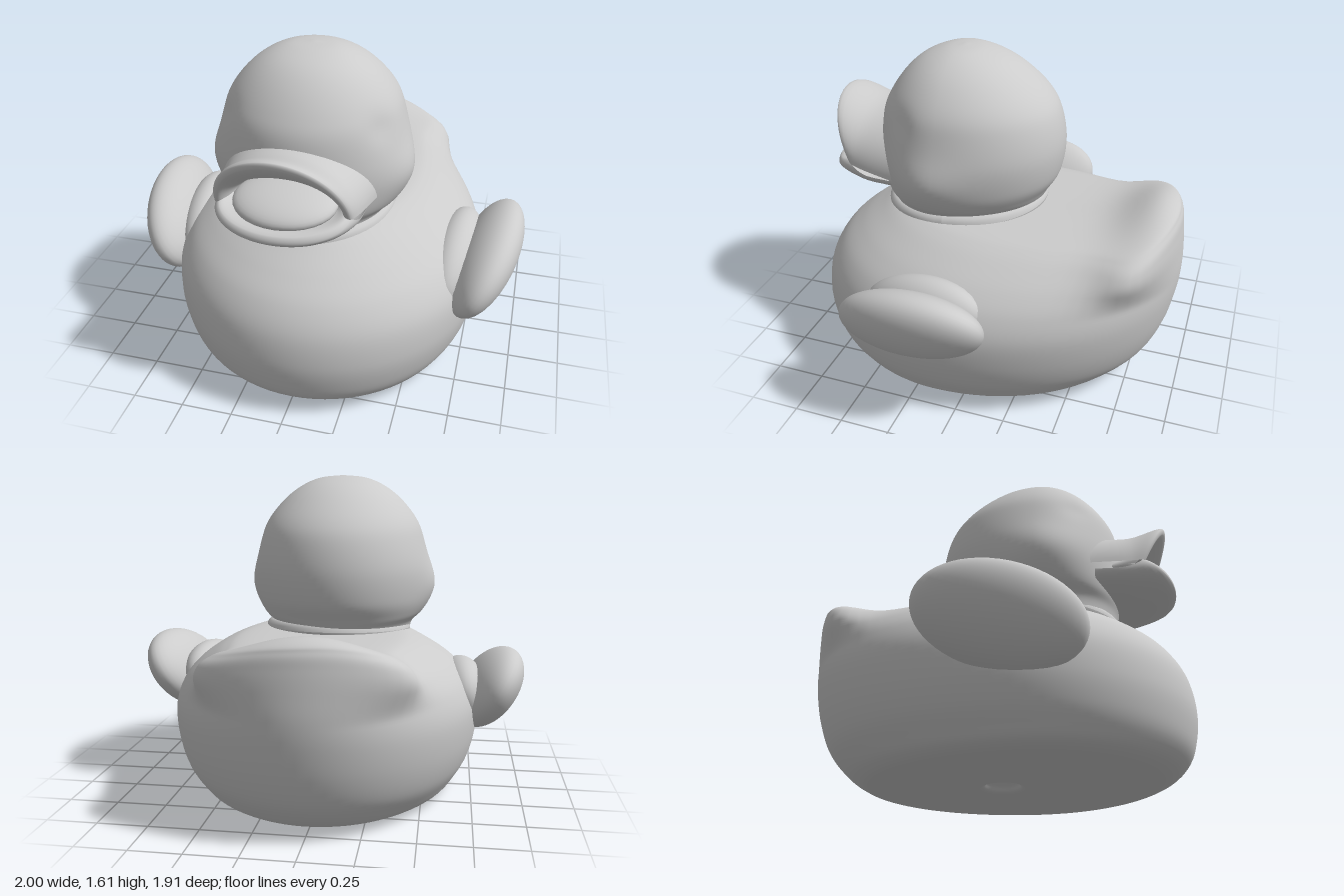
import * as THREE from 'three';
import { mergeVertices } from 'three/addons/utils/BufferGeometryUtils.js';

const material = new THREE.MeshStandardMaterial({ color: 0xcccccc, roughness: 0.7 });
const thinMaterial = new THREE.MeshStandardMaterial({ color: 0xcccccc, roughness: 0.7, side: THREE.DoubleSide });
const bell = (d, s) => Math.exp(-((d / s) ** 2));

function addMesh(parent, name, geometry, mat = material) {
  const mesh = new THREE.Mesh(geometry, mat);
  mesh.name = name;
  parent.add(mesh);
  return mesh;
}

// Smooth skin over a grid of points: point(i, j) for i rows and j columns.
function skin(rows, cols, point) {
  const positions = [], index = [];
  for (let i = 0; i <= rows; i++)
    for (let j = 0; j <= cols; j++) positions.push(...point(i / rows, j / cols).toArray());
  for (let i = 0; i < rows; i++)
    for (let j = 0; j < cols; j++) {
      const a = i * (cols + 1) + j, b = a + cols + 1;
      index.push(a, b, a + 1, b, b + 1, a + 1);
    }
  let geometry = new THREE.BufferGeometry();
  geometry.setAttribute('position', new THREE.Float32BufferAttribute(positions, 3));
  geometry.setIndex(index);
  geometry = mergeVertices(geometry, 1e-5);
  geometry.computeVertexNormals();
  return geometry;
}

// Egg-shaped horizontal rings [y, halfWidth, zFront, zBack], splined upward, then bent by a rule.
function eggLoft(rings, centreX, rule) {
  const spline = (a, b) => new THREE.CatmullRomCurve3(
    rings.map((r) => new THREE.Vector3(r[a], r[b], 0)), false, 'catmullrom', 0.5);
  const side = spline(0, 1), ends = spline(2, 3);
  return skin((rings.length - 1) * 7, 80, (t, s) => {
    const p = side.getPoint(t), e = ends.getPoint(t), a = s * Math.PI * 2;
    const zc = e.y + 0.55 * (e.x - e.y), sin = Math.sin(a);
    const v = new THREE.Vector3(Math.max(0, p.y) * Math.cos(a), p.x,
      zc + sin * (sin > 0 ? e.x - zc : zc - e.y));
    rule(v);
    v.x += centreX;
    return v;
  });
}

// Half of the bill: a profile of points swept round the arch from corner to corner.
function billHalf(direction, profile) {
  return skin(40, 30, (t, s) => {
    const u = t * Math.PI;
    const curve = new THREE.CatmullRomCurve3(profile(direction * Math.cos(u), Math.sin(u))
      .map((p) => new THREE.Vector3(p[0] - 0.045, p[1], p[2])));
    return curve.getPoint(s);
  });
}

function createWing(name, side, lift, shift) {
  const wing = new THREE.Group();
  wing.name = name;
  const blade = addMesh(wing, 'wingBlade', new THREE.SphereGeometry(1, 40, 28));
  blade.scale.set(0.135, 0.235, 0.385);
  blade.rotation.set(0.22, -0.14 * side, -0.52 * side);
  blade.position.set(0.83 * side, 0.56 + lift, 0.18 + shift);
  const root = addMesh(wing, 'wingRoot', new THREE.SphereGeometry(1, 32, 20));
  root.scale.set(0.13, 0.18, 0.32);
  root.rotation.set(0.2, -0.1 * side, 0);
  root.position.set(0.68 * side, 0.54 + lift, 0.18 + shift);
  return wing;
}

export function createModel() {
  const duck = new THREE.Group();
  duck.name = 'bathDuck';

  // Body with a dimpled flat base; the rule lifts and widens the tail.
  addMesh(duck, 'body', eggLoft([
    [0.09, 0, 0, 0], [0.05, 0.07, 0.07, -0.07], [0.015, 0.13, 0.13, -0.13],
    [0.015, 0.35, 0.4, -0.4], [0.015, 0.56, 0.7, -0.62], [0.045, 0.66, 0.83, -0.71],
    [0.11, 0.71, 0.905, -0.79], [0.2, 0.755, 0.94, -0.86], [0.33, 0.785, 0.955, -0.91],
    [0.48, 0.785, 0.93, -0.94], [0.6, 0.735, 0.86, -0.95], [0.69, 0.655, 0.76, -0.945],
    [0.76, 0.56, 0.66, -0.935], [0.81, 0.47, 0.58, -0.92], [0.835, 0.38, 0.5, -0.87],
    [0.843, 0.2, 0.3, -0.6], [0.843, 0, -0.1, -0.1],
  ], 0.015, (v) => {
    const k = THREE.MathUtils.smoothstep(v.y, 0.58, 0.83) * bell(v.z + 0.83, 0.18);
    v.x *= 1 + 0.6 * k;
    v.y += 0.115 * k * bell(v.x + 0.04, 0.36);
  }));

  // Soft collar where the neck meets the body.
  const collar = new THREE.TorusGeometry(1, 0.11, 16, 64);
  collar.rotateX(Math.PI / 2).scale(0.35, 0.4, 0.385).rotateX(0.08);
  collar.computeVertexNormals();
  addMesh(duck, 'collar', collar).position.set(-0.02, 0.82, 0.2);

  // Head; the rule swells the cheeks and presses in shallow eyes.
  addMesh(duck, 'head', eggLoft([
    [0.76, 0.36, 0.58, -0.18], [0.85, 0.37, 0.6, -0.205], [0.91, 0.415, 0.62, -0.235],
    [1.0, 0.44, 0.63, -0.285], [1.15, 0.455, 0.635, -0.305], [1.3, 0.43, 0.62, -0.28],
    [1.4, 0.39, 0.575, -0.225], [1.5, 0.31, 0.5, -0.12], [1.57, 0.22, 0.415, -0.01],
    [1.612, 0.12, 0.31, 0.11], [1.625, 0, 0.21, 0.21],
  ], -0.04, (v) => {
    const cheek = 0.05 * bell(v.y - 1.04, 0.13) * bell(v.z - 0.29, 0.22);
    const eye = 0.014 * bell(v.y - 1.32, 0.07) * bell(v.z - 0.42, 0.07);
    v.x += Math.sign(v.x) * (cheek - eye) * Math.min(1, Math.abs(v.x) / 0.2);
  }));

  // Open bill: c runs across, s is highest at the middle of the arch.
  const bill = new THREE.Group();
  bill.name = 'bill';
  duck.add(bill);
  addMesh(bill, 'upperBill', billHalf(1, (c, s) => [
    [0.37 * c, 1.0 + 0.27 * s, 0.48], [0.33 * c, 1.02 + 0.255 * s, 0.68],
    [0.31 * c, 1.03 + 0.305 * s, 0.74 + 0.135 * s], [0.29 * c, 1.03 + 0.27 * s, 0.745 + 0.13 * s],
    [0.25 * c, 1.05 + 0.12 * s, 0.68 + 0.03 * s], [0.2 * c, 1.06 + 0.06 * s, 0.56],
  ]), thinMaterial);
  addMesh(bill, 'lowerBill', billHalf(-1, (c, s) => [
    [0.34 * c, 0.98 - 0.1 * s, 0.5], [0.33 * c, 0.99 - 0.1 * s, 0.66 + 0.04 * s],
    [0.31 * c, 1.03 - 0.075 * s, 0.73 + 0.175 * s], [0.29 * c, 1.05 - 0.055 * s, 0.725 + 0.17 * s],
    [0.24 * c, 1.04 - 0.04 * s, 0.68 + 0.06 * s], [0.18 * c, 1.05 - 0.02 * s, 0.56],
  ]), thinMaterial);
  const tongue = addMesh(bill, 'tongue', new THREE.SphereGeometry(1, 32, 20));
  tongue.scale.set(0.24, 0.07, 0.18);
  tongue.rotation.x = 0.2;
  tongue.position.set(-0.045, 1.05, 0.69);

  // Wings: the right one sits a little lower and further back.
  duck.add(createWing('leftWing', 1, 0, 0), createWing('rightWing', -1, -0.03, -0.09));
  return duck;
}
